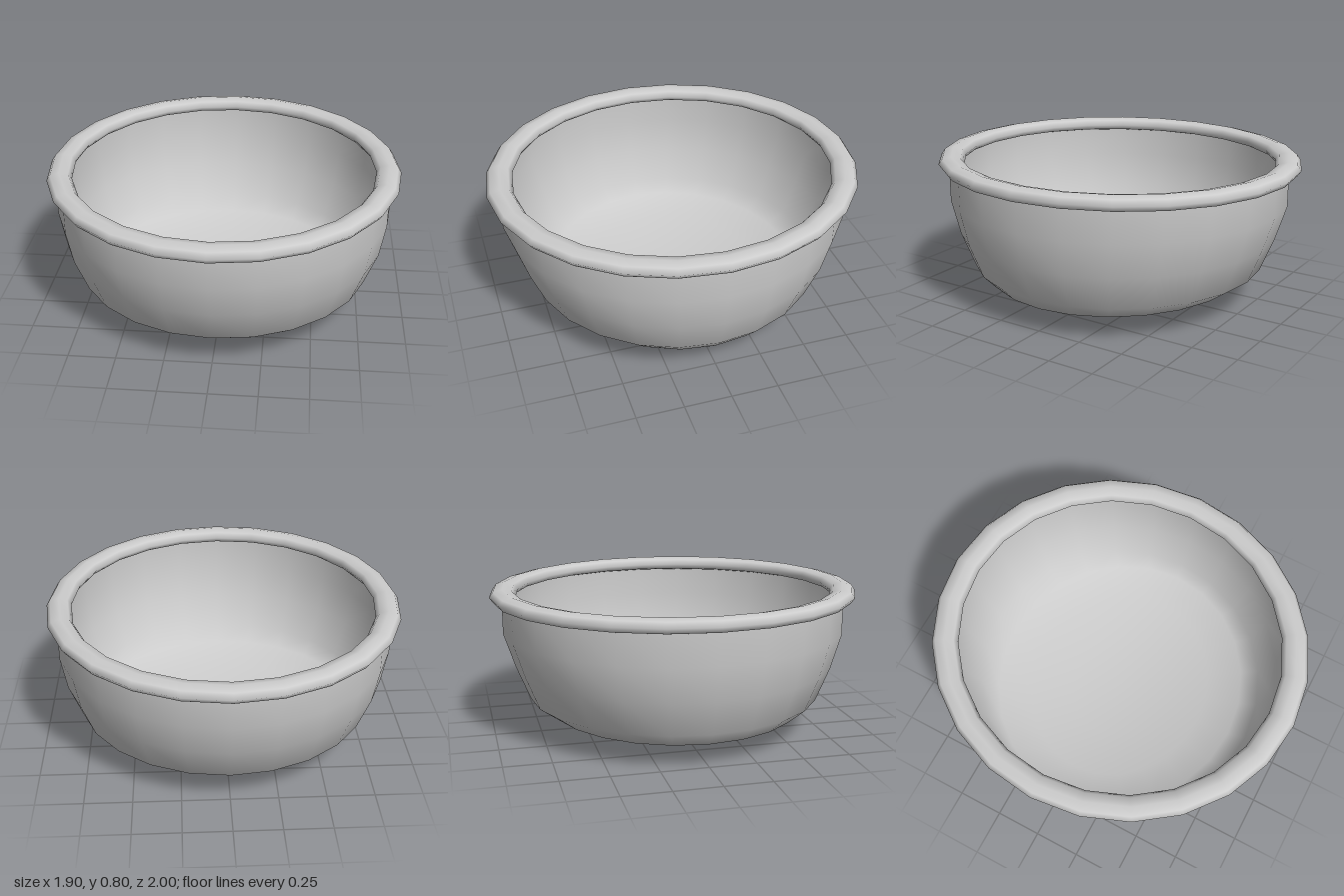
import * as THREE from 'three';
import { mergeVertices } from 'three/addons/utils/BufferGeometryUtils.js';

const SEGMENTS = 24;

// Wall levels from the base up: height, half width (x), half depth (z)
const LEVELS = [
  [0, 0, 0],
  [0.025, 0.31, 0.27],
  [0.06, 0.57, 0.505],
  [0.12, 0.745, 0.70],
  [0.19, 0.805, 0.80],
  [0.375, 0.875, 0.875],
  [0.56, 0.905, 0.935],
  [0.75, 0.905, 0.935],
];

// Turned wall whose rings are stretched into ovals level by level
function bowlGeometry() {
  const profile = LEVELS.map(([y, rx]) => new THREE.Vector2(rx, y));
  const lathe = new THREE.LatheGeometry(profile, SEGMENTS);
  const pos = lathe.attributes.position;
  for (let i = 0; i < pos.count; i++) {
    const [, rx, rz] = LEVELS[i % LEVELS.length];
    if (rx > 0) pos.setZ(i, pos.getZ(i) * rz / rx);
  }
  // Weld the seam so the shading is smooth all round
  lathe.deleteAttribute('uv');
  lathe.deleteAttribute('normal');
  const geometry = mergeVertices(lathe, 1e-4);
  geometry.computeVertexNormals();
  return geometry;
}

// Flattened oval ring around the opening
function rimGeometry() {
  return new THREE.TorusGeometry(0.93, 0.07, 8, SEGMENTS)
    .rotateX(-Math.PI / 2)
    .scale(0.95, 0.04 / 0.07, 1)
    .translate(0, 0.76, 0);
}

export function createModel() {
  const group = new THREE.Group();
  group.name = 'bowl';
  const material = new THREE.MeshStandardMaterial({ color: 0xcccccc, side: THREE.DoubleSide });
  const parts = { bowlWall: bowlGeometry(), rim: rimGeometry() };
  for (const [name, geometry] of Object.entries(parts)) {
    const mesh = new THREE.Mesh(geometry, material);
    mesh.name = name;
    group.add(mesh);
  }
  return group;
}
